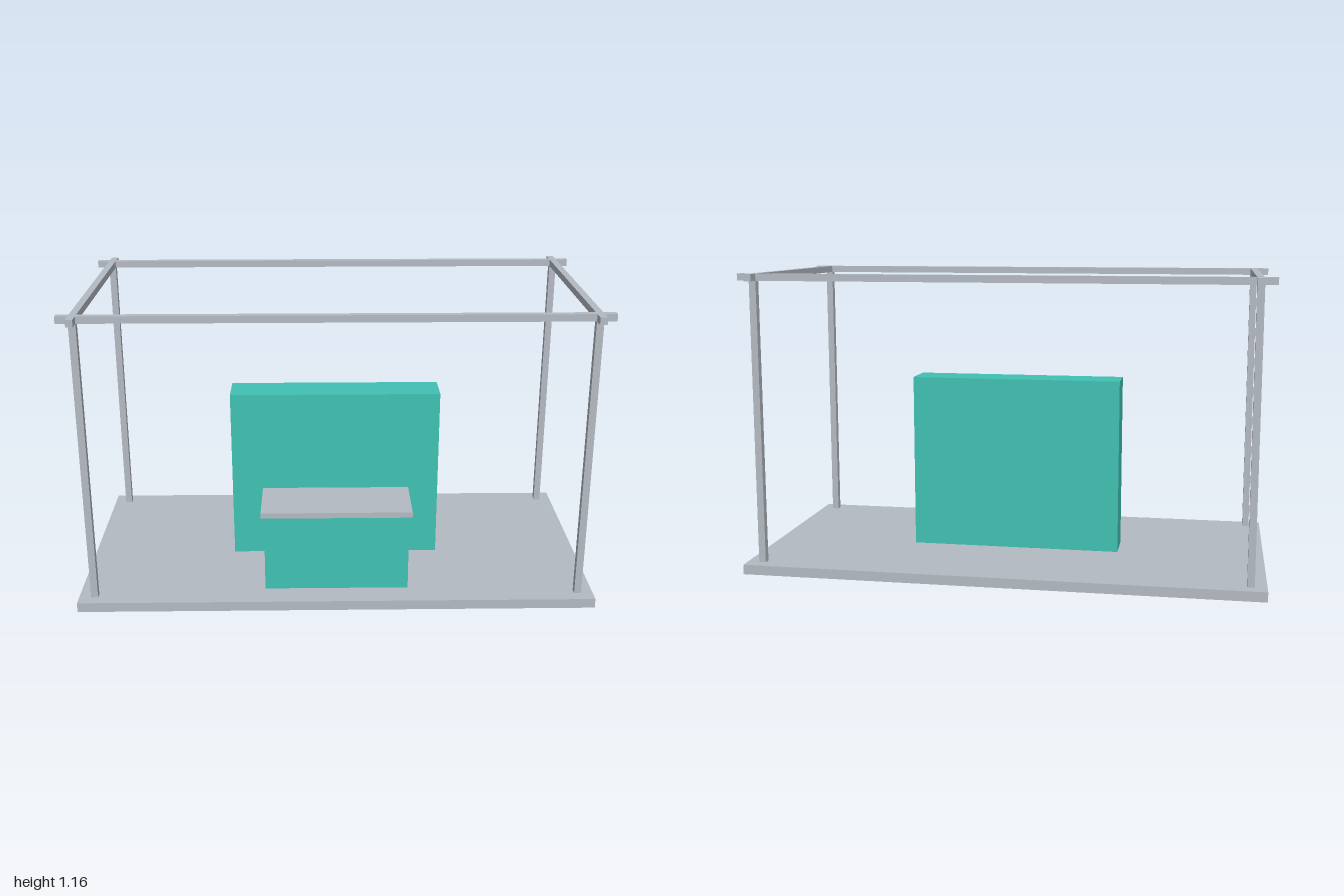
import * as THREE from 'three';

export function createModel() {
  const model = new THREE.Group();
  model.name = 'exhibitionStand';

  const grey = new THREE.MeshStandardMaterial({ color: 0xb4bac3 });
  grey.name = 'metal grey';
  const teal = new THREE.MeshStandardMaterial({ color: 0x40c1b3 });
  teal.name = 'teal';

  // Box given by its ranges along x, y and z
  function box(name, material, [x0, x1], [y0, y1], [z0, z1], parent = model) {
    const mesh = new THREE.Mesh(new THREE.BoxGeometry(x1 - x0, y1 - y0, z1 - z0), material);
    mesh.position.set((x0 + x1) / 2, (y0 + y1) / 2, (z0 + z1) / 2);
    mesh.name = name;
    parent.add(mesh);
  }

  // Floor slab; the wall and counter go through it and show underneath
  box('floor', grey, [-1, 1], [0.002, 0.04], [-0.5, 0.5]);
  box('backWall', teal, [-0.42, 0.42], [0, 0.735], [-0.075, 0.075]);

  // Counter with an overhanging top
  const counter = new THREE.Group();
  counter.name = 'counter';
  model.add(counter);
  box('counterBody', teal, [-0.28, 0.28], [0, 0.348], [0.175, 0.395], counter);
  box('counterTop', grey, [-0.292, 0.292], [0.348, 0.37], [0.165, 0.405], counter);

  // Open frame: four posts, with beams that cross and run past the corners
  const frame = new THREE.Group();
  frame.name = 'frame';
  model.add(frame);
  const half = 0.0135, postX = 0.94, postZ = 0.44;
  const around = (c) => [c - half, c + half];
  const beamY = [1.138, 1.165];
  for (const s of [-1, 1]) {
    box(s > 0 ? 'frontBeam' : 'backBeam', grey, [-1, 1], beamY, around(s * postZ), frame);
    box(s > 0 ? 'leftBeam' : 'rightBeam', grey, around(s * postX), beamY, [-0.5, 0.5], frame);
    for (const t of [-1, 1]) {
      const name = (t > 0 ? 'front' : 'back') + (s > 0 ? 'Left' : 'Right') + 'Post';
      box(name, grey, around(s * postX), [0.04, beamY[0]], around(t * postZ), frame);
    }
  }

  return model;
}
